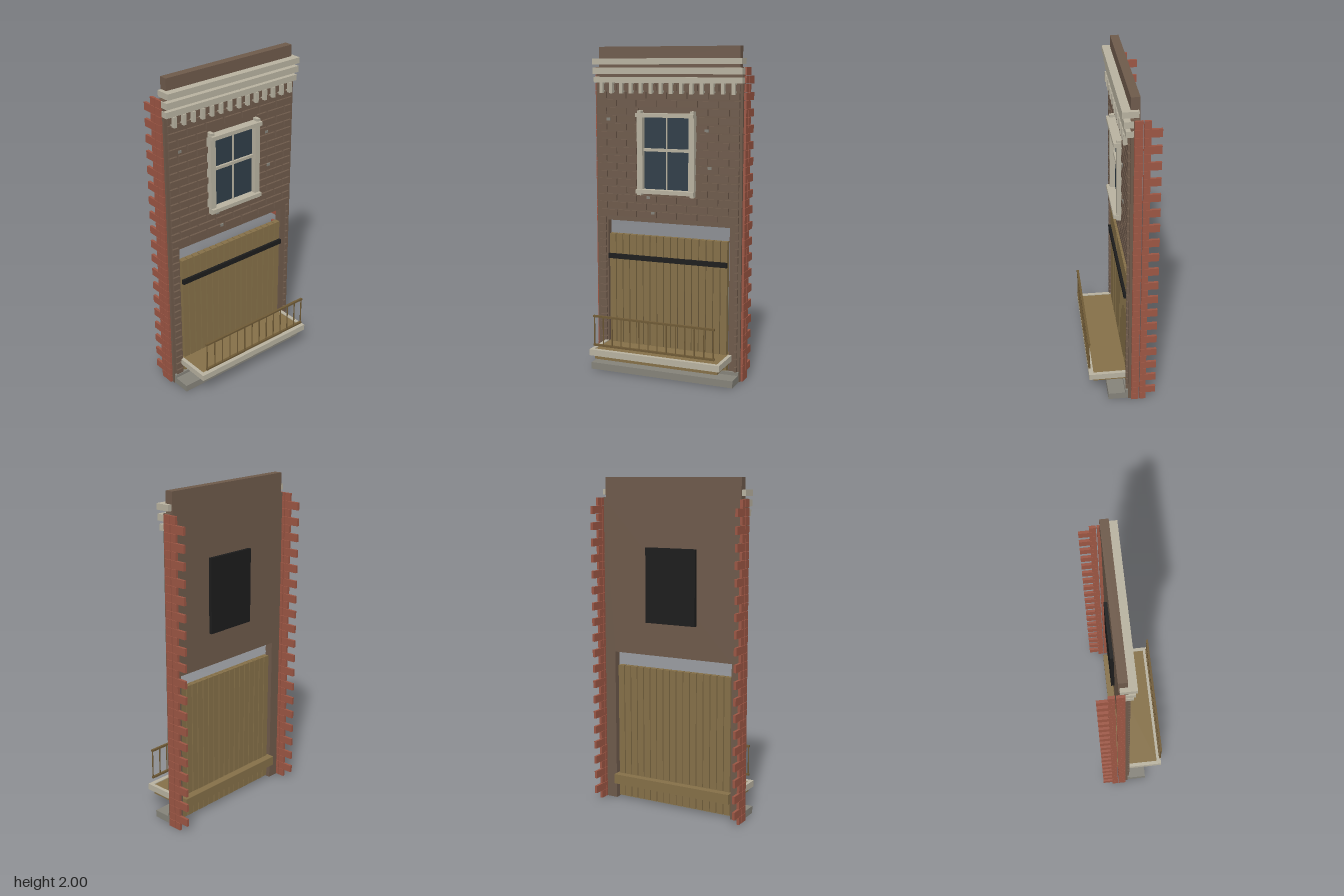
import * as THREE from 'three';

const mat = (name, color) => {
  const m = new THREE.MeshStandardMaterial({ color });
  m.name = name;
  return m;
};

export function createModel() {
  const root = new THREE.Group();
  const brown = mat('brown brick', 0x6e5a4b);
  const red = mat('red brick', 0x9c5644);
  const wood = mat('wood', 0x857048);
  const darkWood = mat('dark wood', 0x5c4c32);
  const stone = mat('pale stone', 0xb8b2a0);
  const grey = mat('grey stone', 0x85837a);
  const black = mat('black iron', 0x1c1c1c);
  const glass = mat('window glass', 0x2f3d48);
  const bronze = mat('railing bronze', 0x6f5a36);

  const group = (name) => {
    const g = new THREE.Group();
    g.name = name;
    root.add(g);
    return g;
  };
  // Box given by its limits on each axis
  const box = (parent, name, m, x0, x1, y0, y1, z0, z1) => {
    const mesh = new THREE.Mesh(new THREE.BoxGeometry(x1 - x0, y1 - y0, z1 - z0), m);
    mesh.position.set((x0 + x1) / 2, (y0 + y1) / 2, (z0 + z1) / 2);
    mesh.name = name;
    parent.add(mesh);
    return mesh;
  };

  // Wall slab with the wide ground-floor opening
  const outline = [[-0.472, 0], [-0.4, 0], [-0.4, 0.94], [0.4, 0.94], [0.4, 0],
    [0.472, 0], [0.472, 1.88], [-0.472, 1.88]];
  const shape = new THREE.Shape(outline.map(([x, y]) => new THREE.Vector2(x, y)));
  const wall = new THREE.Mesh(
    new THREE.ExtrudeGeometry(shape, { depth: 0.045, bevelEnabled: false }), brown);
  wall.position.z = -0.08;
  wall.name = 'wall';
  root.add(wall);
  box(root, 'parapet', brown, -0.452, 0.452, 1.87, 2, -0.085, -0.035);

  // Raised facing bricks, clipped around the window and the opening
  const facing = group('facingBricks');
  const pitch = 0.0482;
  for (let row = 1; row < 37; row++) {
    const y = row * pitch;
    let spans = [[-0.455, 0.455]];
    if (y < 0.95) spans = [[-0.455, -0.41], [0.437, 0.455]];
    else if (y > 1.07 && y < 1.62) spans = [[-0.455, -0.187], [0.187, 0.455]];
    for (const [a, b] of spans) {
      for (let x = -0.455 - (row % 2) * 0.066; x < b; x += 0.132) {
        const x0 = Math.max(x, a), x1 = Math.min(x + 0.121, b);
        if (x1 - x0 > 0.01) {
          box(facing, 'facingBrick', brown, x0, x1, y + 0.005, y + 0.043, -0.036, -0.022);
        }
      }
    }
  }
  // Worn grey patches
  for (const [x, y] of [[-0.385, 1.565], [0.275, 1.29], [-0.09, 1.0], [-0.12, 1.095], [0.255, 1.51]]) {
    box(facing, 'wornPatch', grey, x - 0.012, x + 0.012, y - 0.008, y + 0.008, -0.026, -0.019);
  }

  // Toothed red brick returns on both sides
  const returns = group('sideBricks');
  for (const s of [-1, 1]) {
    for (let row = 0; row < 39; row++) {
      const y0 = row * pitch + 0.001, y1 = y0 + 0.046;
      const xa = Math.min(s * 0.47, s * 0.486), xb = Math.max(s * 0.47, s * 0.486);
      const back = row % 2 ? -0.2 : -0.14;
      box(returns, 'sideBrick', red, xa, xb, y0, y1, -0.098, -0.052);
      box(returns, 'sideBrick', red, xa, xb, y0, y1, back, -0.103);
    }
  }

  // Cornice bands and dentils
  const cornice = group('cornice');
  box(cornice, 'topBand', stone, -0.476, 0.476, 1.895, 1.93, -0.078, 0.012);
  box(cornice, 'middleBand', stone, -0.478, 0.478, 1.838, 1.875, -0.05, 0.002);
  box(cornice, 'lowerBand', stone, -0.476, 0.476, 1.785, 1.82, -0.05, -0.008);
  for (let i = 0; i < 14; i++) {
    const x = -0.4225 + i * 0.065;
    box(cornice, 'dentil', stone, x - 0.01, x + 0.01, 1.722, 1.785, -0.036, 0);
  }

  // Sash window
  const win = group('window');
  box(win, 'pane', glass, -0.152, 0.152, 1.14, 1.59, -0.036, -0.03);
  box(win, 'blackBacking', black, -0.167, 0.167, 1.14, 1.59, -0.1, -0.078);
  box(win, 'lintel', stone, -0.186, 0.186, 1.583, 1.607, -0.036, 0.021);
  box(win, 'sill', stone, -0.186, 0.186, 1.123, 1.147, -0.036, 0.021);
  box(win, 'meetingRail', stone, -0.15, 0.15, 1.377, 1.395, -0.034, -0.016);
  box(win, 'glazingBar', stone, -0.004, 0.004, 1.145, 1.585, -0.034, -0.022);
  for (const s of [-1, 1]) {
    box(win, 'jamb', stone, s * 0.167 - 0.018, s * 0.167 + 0.018, 1.125, 1.605, -0.036, 0.002);
    for (const y of [1.11, 1.592]) {
      box(win, 'cornerBlock', stone, s * 0.171 - 0.012, s * 0.171 + 0.012, y, y + 0.03, -0.036, 0.004);
    }
  }

  // Plank gate with iron strap
  const gate = group('gate');
  const step = 0.78 / 17;
  box(gate, 'gateCore', darkWood, -0.385, 0.385, 0.02, 0.85, -0.052, -0.043);
  for (let i = 0; i < 17; i++) {
    const x = -0.39 + i * step;
    box(gate, 'plank', wood, x + 0.003, x + step - 0.003, 0.015, 0.855, -0.065, -0.03);
  }
  box(gate, 'strap', black, -0.39, 0.39, 0.7, 0.73, -0.032, -0.014);

  // Plinth
  const plinth = group('plinth');
  box(plinth, 'plinthStep', grey, -0.467, 0.467, 0, 0.043, -0.036, 0.085);
  box(plinth, 'plinthCourse', grey, -0.467, 0.467, 0.043, 0.063, -0.036, -0.018);

  // Balcony deck with stone edging
  const balcony = group('balcony');
  box(balcony, 'deck', wood, -0.4, 0.4, 0.1, 0.16, -0.11, 0.17);
  box(balcony, 'frontEdge', stone, -0.422, 0.422, 0.127, 0.165, 0.17, 0.198);
  for (const s of [-1, 1]) {
    box(balcony, 'sideEdge', stone, s * 0.411 - 0.011, s * 0.411 + 0.011, 0.127, 0.165, -0.03, 0.17);
  }

  // Railing
  const railing = group('railing');
  for (const y of [0.198, 0.378]) {
    box(railing, 'rail', bronze, -0.392, 0.392, y - 0.006, y + 0.006, 0.186, 0.2);
  }
  for (let i = 0; i <= 13; i++) {
    const bar = new THREE.Mesh(new THREE.CylinderGeometry(0.004, 0.004, 0.18, 8), bronze);
    bar.position.set(-0.386 + (i * 0.772) / 13, 0.288, 0.194);
    bar.name = 'baluster';
    railing.add(bar);
  }
  return root;
}
